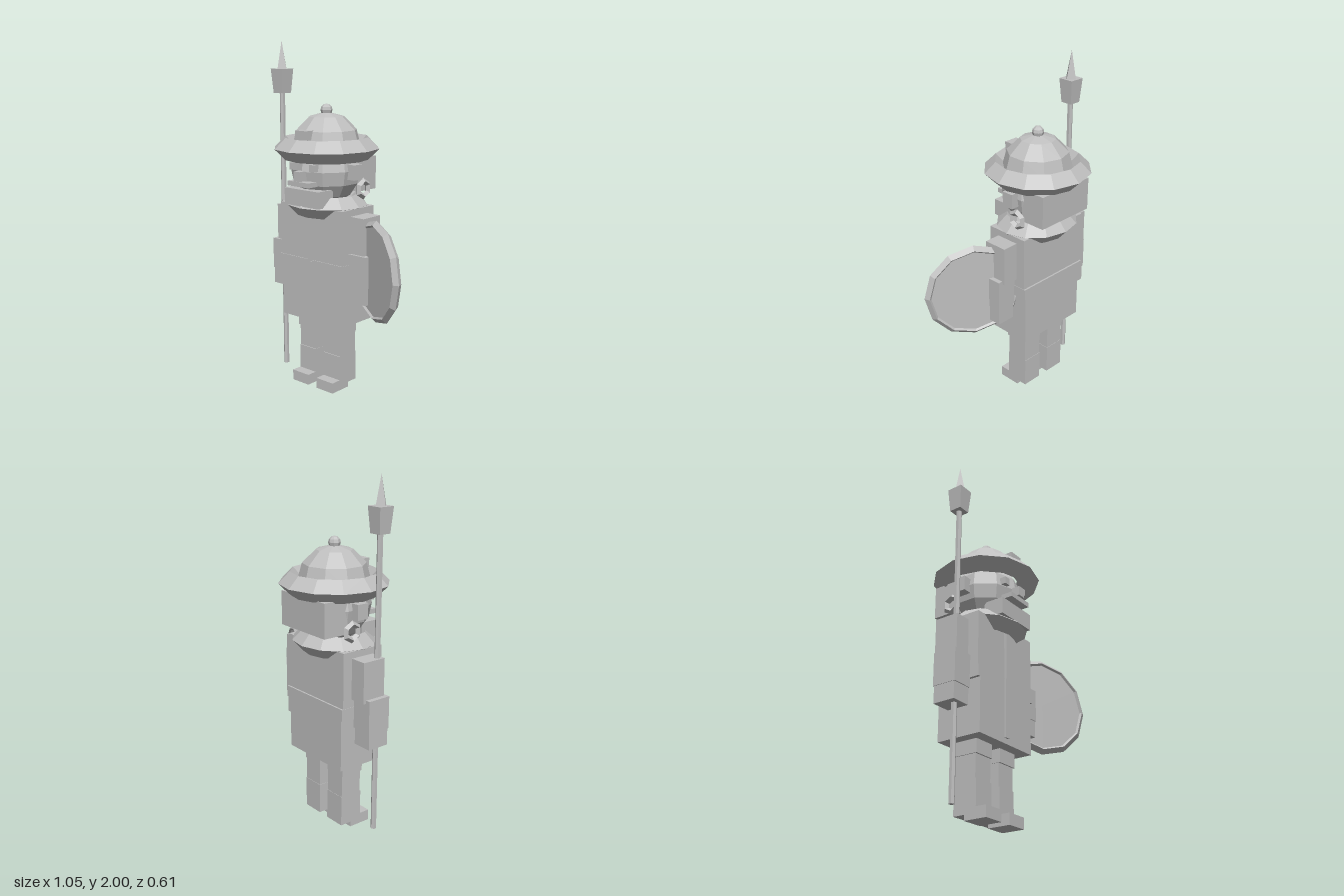
import * as THREE from 'three';

export function createModel() {
  const root = new THREE.Group();
  root.name = 'guardsman';
  const grey = new THREE.MeshStandardMaterial({ color: 0xc0c0c0, flatShading: true });
  grey.name = 'grey';
  const CX = -0.163; // body centre line

  function add(name, geo, x, y, z, parent = root) {
    const m = new THREE.Mesh(geo, grey);
    m.name = name;
    m.position.set(x, y, z);
    parent.add(m);
    return m;
  }
  // box from its extents, x measured from the body centre line
  function box(name, x0, x1, y0, y1, z0, z1, parent = root) {
    return add(name, new THREE.BoxGeometry(x1 - x0, y1 - y0, z1 - z0),
      (x0 + x1) / 2, (y0 + y1) / 2, (z0 + z1) / 2, parent);
  }
  // flat ring with a diamond cross-section
  const ring = (r, tube) => new THREE.TorusGeometry(r, tube, 4, 12).rotateX(Math.PI / 2);

  const body = new THREE.Group();
  body.name = 'body';
  body.position.x = CX;
  root.add(body);

  // coat
  box('coatTop', -0.24, 0.24, 0.71, 1.085, -0.13, 0.135, body);
  box('coatSkirt', -0.225, 0.225, 0.41, 0.72, -0.13, 0.14, body);
  box('belt', -0.242, 0.242, 0.71, 0.775, -0.14, 0.14, body);
  box('upperPlacket', -0.01, 0.01, 0.76, 1.05, 0.13, 0.15, body);
  box('lowerPlacket', -0.016, 0.016, 0.44, 0.77, 0.135, 0.15, body);
  add('collar', ring(0.185, 0.061).scale(1, 1, 0.9), 0, 1.086, 0, body);

  // head and face
  add('head', new THREE.SphereGeometry(0.205, 10, 8).rotateY(Math.PI / 2), 0, 1.29, 0, body);
  box('backHair', -0.185, 0.185, 1.165, 1.355, -0.215, -0.06, body);
  box('nose', -0.023, 0.023, 1.24, 1.295, 0.17, 0.245, body);
  box('moustache', -0.08, 0.08, 1.21, 1.237, 0.15, 0.235, body);
  box('beard', -0.13, 0.13, 1.095, 1.19, 0.09, 0.21, body);

  // helmet
  add('helmetBrim', ring(0.24, 0.063), 0, 1.406, 0, body);
  add('helmetDome',
    new THREE.SphereGeometry(0.2, 10, 3, 0, Math.PI * 2, 0, Math.PI / 2).rotateY(Math.PI / 2),
    0, 1.41, 0, body);
  add('helmetKnob', new THREE.SphereGeometry(0.034, 8, 6), 0, 1.62, 0, body);
  box('helmetBadge', -0.043, 0.043, 1.465, 1.517, 0.13, 0.21, body);

  // paired parts
  for (const [side, s] of [['left', 1], ['right', -1]]) {
    const pair = (name, x0, x1, ...r) =>
      box(side + name, Math.min(s * x0, s * x1), Math.max(s * x0, s * x1), ...r, body);
    pair('Eye', 0.056, 0.094, 1.295, 1.335, 0.15, 0.205);
    pair('Ear', 0.16, 0.238, 1.245, 1.33, -0.035, 0.035);
    add(side + 'Earring', new THREE.TorusGeometry(0.044, 0.018, 4, 6)
      .rotateZ(Math.PI / 6).rotateY(Math.PI / 2), s * 0.222, 1.187, -0.06, body);
    pair('UpperArm', 0.235, 0.336, 0.82, 1.048, -0.073, 0.07);
    pair('Forearm', 0.24, 0.363, 0.655, 0.838, -0.055, 0.085);
    pair('Hand', 0.245, 0.36, 0.56, 0.66, -0.05, 0.08);
    pair('Thigh', 0.033, 0.165, 0.335, 0.42, -0.068, 0.075);
    pair('Shin', 0.036, 0.16, 0.2, 0.34, -0.066, 0.066);
    pair('Boot', 0.034, 0.16, 0.03, 0.206, -0.068, 0.072);
    pair('Foot', 0.034, 0.16, 0, 0.062, 0, 0.135);
  }

  // shield, turned outwards on the left arm
  const shield = new THREE.Group();
  shield.name = 'shield';
  shield.position.set(0.268, 0.768, 0.075);
  shield.rotation.y = -0.46;
  root.add(shield);
  add('shieldRim', new THREE.TorusGeometry(0.262, 0.025, 4, 12), 0, 0, 0, shield);
  add('shieldDisc', new THREE.CylinderGeometry(0.258, 0.258, 0.03, 12)
    .rotateY(Math.PI / 2).rotateX(Math.PI / 2), 0, 0, 0, shield);

  // spear
  const SX = -0.472, SZ = 0.042;
  add('spearShaft', new THREE.CylinderGeometry(0.016, 0.016, 1.68, 6), SX, 0.885, SZ);
  add('spearSocket', new THREE.CylinderGeometry(0.065, 0.05, 0.138, 4).rotateY(Math.PI / 4),
    SX, 1.772, SZ);
  add('spearPoint', new THREE.ConeGeometry(0.036, 0.16, 4), SX, 1.92, SZ);

  return root;
}
